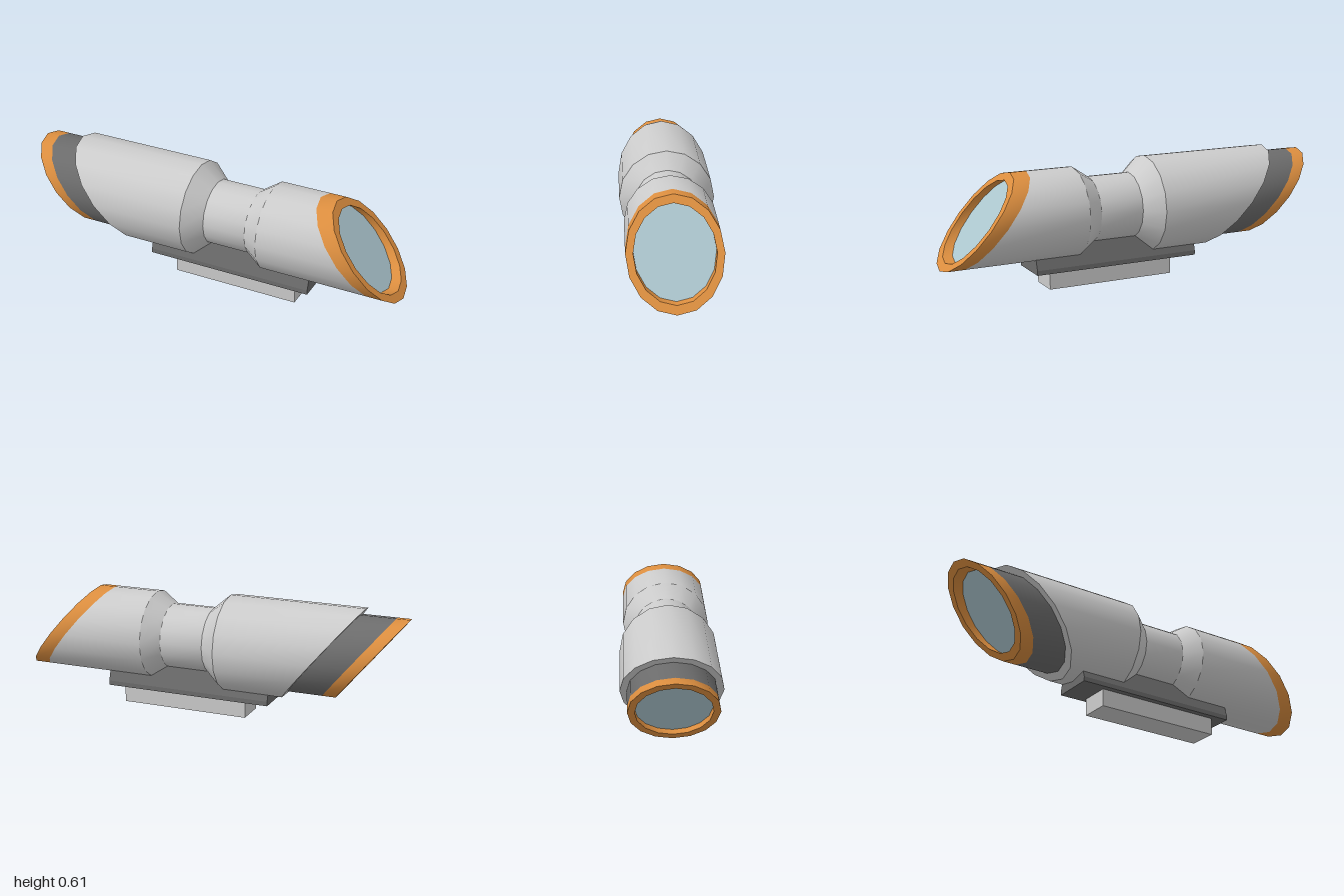
import * as THREE from 'three';
import { toCreasedNormals } from 'three/addons/utils/BufferGeometryUtils.js';

const SIDES = 16;
const AXIS_Y = 0.364;
const SLANT = 0.825;

const material = (color) => new THREE.MeshStandardMaterial({ color });
const GREY = material(0xcccccc);
const DARK = material(0x6c6c6c);
const ORANGE = material(0xdc8e3f);
const GLASS = material(0xacc6ce);

// Skin a row of rings along the x axis; each ring is [x, radius, slant].
// Rings run from left to right on the outside, and back again on the inside.
function loft(name, mat, rings) {
  const positions = [];
  const point = ([x, r, slant = 0], i) => {
    const a = (i / SIDES) * Math.PI * 2;
    return [x - slant * r * Math.cos(a), AXIS_Y + r * Math.cos(a), r * Math.sin(a)];
  };
  for (let j = 0; j < rings.length - 1; j++) {
    const [from, to] = [rings[j], rings[j + 1]];
    for (let i = 0; i < SIDES; i++) {
      const a = point(from, i), b = point(from, i + 1);
      const c = point(to, i + 1), d = point(to, i);
      if (from[1] > 0) positions.push(...a, ...b, ...d);
      if (to[1] > 0) positions.push(...b, ...c, ...d);
    }
  }
  const geometry = new THREE.BufferGeometry();
  geometry.setAttribute('position', new THREE.Float32BufferAttribute(positions, 3));
  const mesh = new THREE.Mesh(toCreasedNormals(geometry, 0.5), mat);
  mesh.name = name;
  return mesh;
}

export function createModel() {
  const model = new THREE.Group();
  model.name = 'scope';

  // Main tube: slanted hood, tapers, narrow neck and eyepiece barrel
  model.add(loft('body', GREY, [
    [-0.583, 0.2, SLANT], [-0.583, 0.242, SLANT],
    [-0.09, 0.242], [0, 0.165], [0.225, 0.165], [0.31, 0.222],
    [0.733, 0.222, SLANT],
  ]));

  // Dark sleeve emerging from the hood
  model.add(loft('sleeve', DARK, [[-0.76, 0.209, SLANT], [-0.5, 0.209, SLANT]]));

  // Slanted end rims with a recessed inner wall
  model.add(loft('leftRim', ORANGE, [
    [-0.775, 0.176, SLANT], [-0.828, 0.176, SLANT],
    [-0.828, 0.209, SLANT], [-0.76, 0.209, SLANT],
  ]));
  model.add(loft('rightRim', ORANGE, [
    [0.733, 0.222, SLANT], [0.816, 0.222, SLANT],
    [0.816, 0.187, SLANT], [0.765, 0.187, SLANT],
  ]));

  // Glass discs parallel to the rims
  model.add(loft('leftLens', GLASS, [[-0.777, 0], [-0.777, 0.178, SLANT]]));
  model.add(loft('rightLens', GLASS, [[0.767, 0.188, SLANT], [0.767, 0]]));

  // Mounting rail with sloped shoulders, reaching up to the neck
  const half = [[0.106, 0.088], [0.106, 0.111], [0.065, 0.245]];
  const outline = [...half, ...half.map(([z, y]) => [-z, y]).reverse()];
  const railShape = new THREE.Shape(outline.map(([z, y]) => new THREE.Vector2(z, y)));
  const railGeometry = new THREE.ExtrudeGeometry(railShape, { depth: 0.87, bevelEnabled: false });
  railGeometry.rotateY(Math.PI / 2).translate(-0.327, 0, 0);
  const rail = new THREE.Mesh(railGeometry, DARK);
  rail.name = 'rail';
  model.add(rail);

  // Block under the rail
  const foot = new THREE.Mesh(new THREE.BoxGeometry(0.664, 0.089, 0.152), GREY);
  foot.position.set(0.133, 0.0445, 0);
  foot.name = 'mountBlock';
  model.add(foot);

  return model;
}
